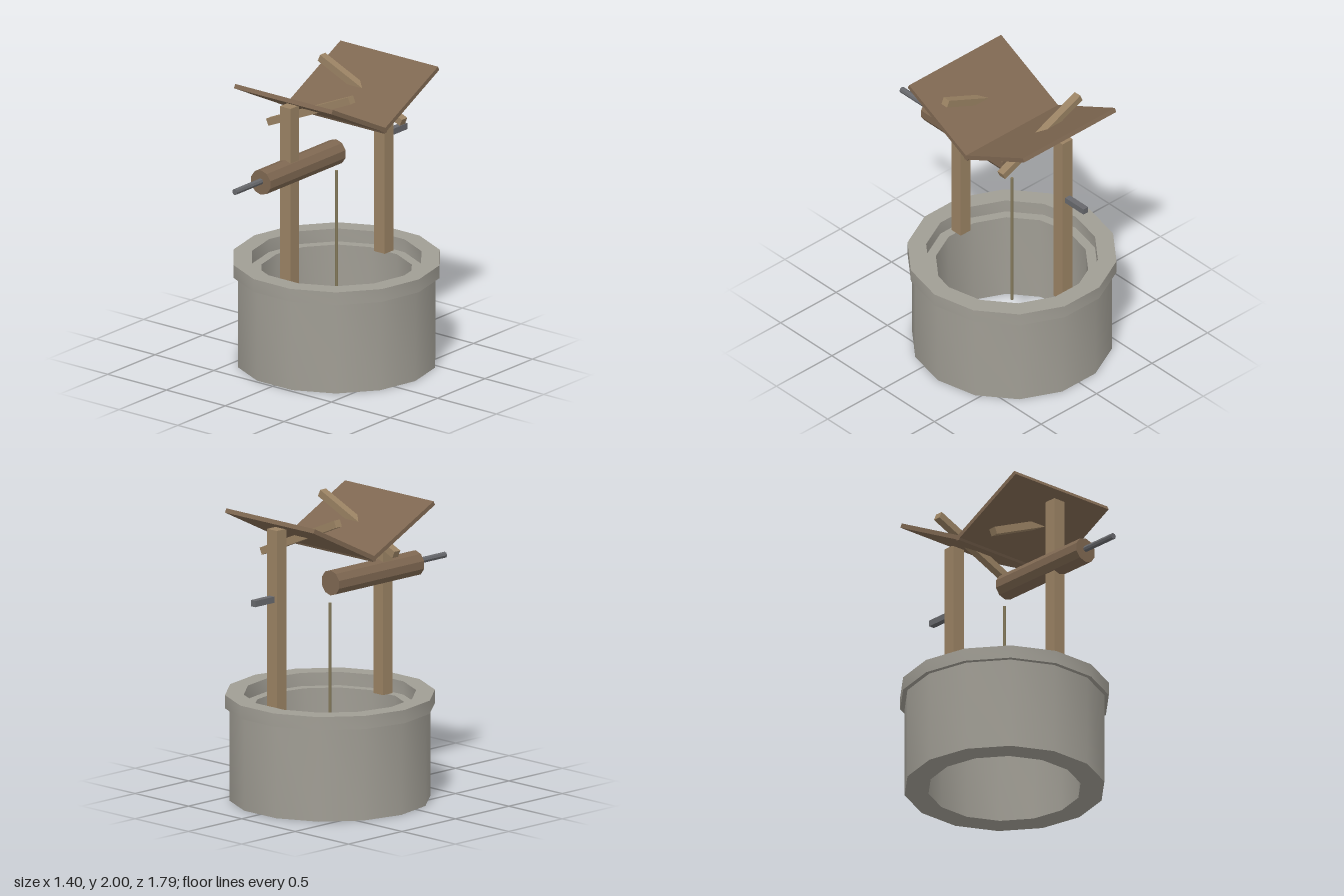
import * as THREE from 'three';
import { toCreasedNormals } from 'three/addons/utils/BufferGeometryUtils.js';

const CENTRE_Z = -0.175; // axis of the well
const mat = (color) => new THREE.MeshStandardMaterial({ color });
const stone = mat(0xa09d94);
const lightWood = mat(0x9a8263);
const darkWood = mat(0x7e6751);
const metal = mat(0x67686c);
const rope = mat(0x857a5c);

export function createModel() {
  const model = new THREE.Group();

  const add = (name, geometry, material, x, y, z) => {
    const mesh = new THREE.Mesh(geometry, material);
    mesh.name = name;
    mesh.position.set(x, y, z);
    model.add(mesh);
    return mesh;
  };

  // 14-sided stone ring with a rectangular section, corners on the x axis
  const ring = (name, inner, outer, y0, y1) => {
    const profile = [[inner, y0], [outer, y0], [outer, y1], [inner, y1], [inner, y0]]
      .map(([r, y]) => new THREE.Vector2(r, y));
    const lathe = new THREE.LatheGeometry(profile, 14, Math.PI / 2);
    add(name, toCreasedNormals(lathe, 0.5), stone, 0, 0, CENTRE_Z);
  };
  ring('wall', 0.51, 0.67, 0, 0.63);
  ring('rim', 0.575, 0.7, 0.63, 0.72);

  // Posts, roof boards and braces come in front and back pairs
  const roofAngle = Math.atan2(0.29, 0.58);
  for (const side of [1, -1]) {
    const end = side > 0 ? 'front' : 'back';
    add(end + 'Post', new THREE.BoxGeometry(0.09, 1.29, 0.09), lightWood,
      0, 1.275, CENTRE_Z + side * 0.497);

    // Boards slope down to a valley in the middle
    add(end + 'RoofBoard', new THREE.BoxGeometry(0.83, 0.03, 0.648), darkWood,
      0, 1.84, CENTRE_Z + side * 0.272).rotation.x = -side * roofAngle;

    // Braces slant across and pass through the boards
    add(end + 'Brace', new THREE.BoxGeometry(0.76, 0.05, 0.055), lightWood,
      0, 1.825, CENTRE_Z + side * 0.273).rotation.z = side * 0.41;
  }

  // Winding drum with its crank rods
  const drum = new THREE.CylinderGeometry(0.086, 0.086, 0.795, 10).rotateX(Math.PI / 2);
  add('drum', toCreasedNormals(drum, 0.5), darkWood, 0, 1.465, 0.2275);
  const rod = new THREE.CylinderGeometry(0.021, 0.021, 0.3, 8).rotateX(Math.PI / 2);
  add('frontCrankRod', toCreasedNormals(rod, 0.5), metal, 0, 1.473, 0.75);
  add('backCrankHandle', new THREE.BoxGeometry(0.042, 0.042, 0.2), metal, 0, 1.448, -0.795);

  // Rope hanging into the well
  add('rope', new THREE.CylinderGeometry(0.011, 0.011, 1, 6), rope, 0, 0.83, CENTRE_Z);

  return model;
}
